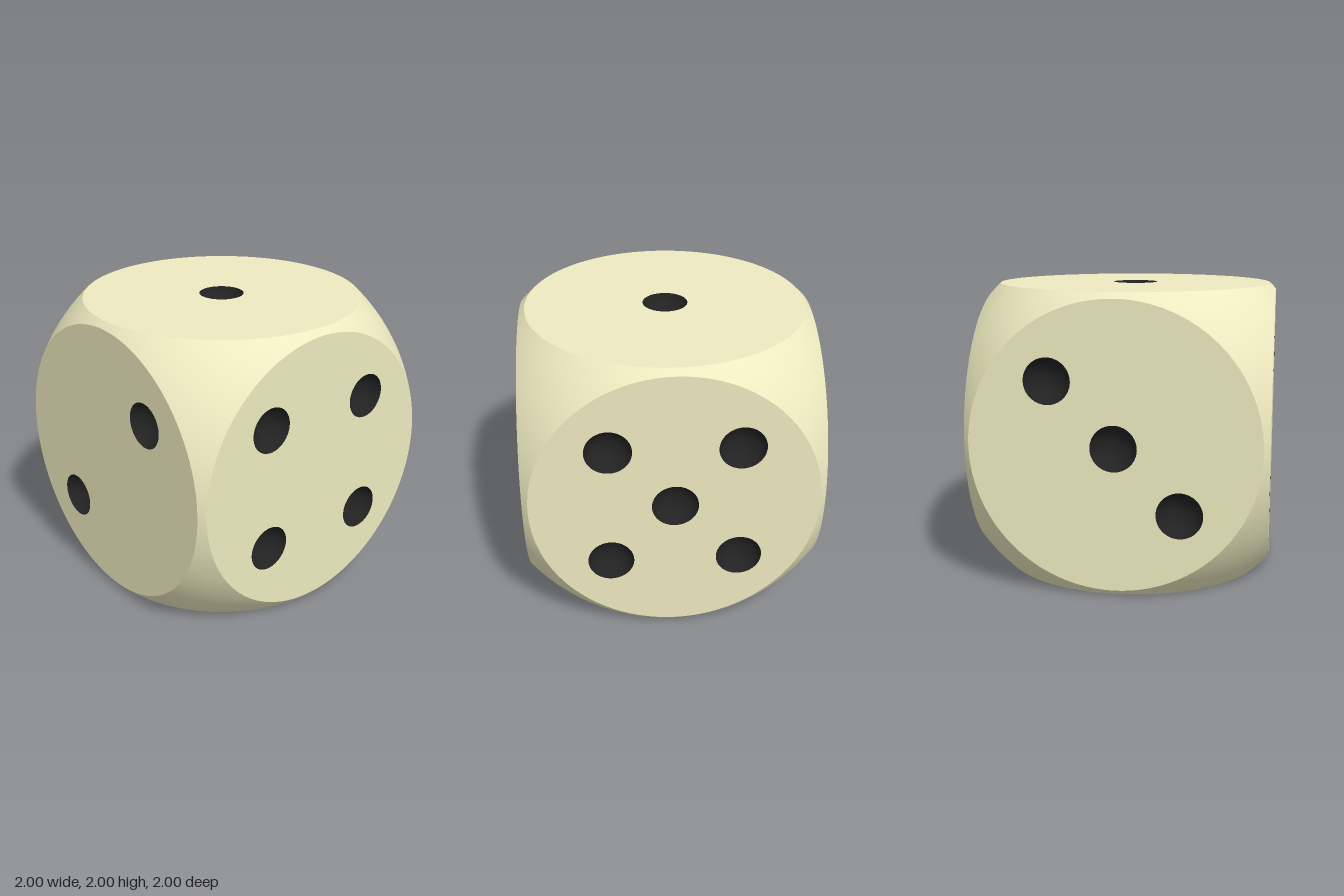
import * as THREE from 'three';

const FLAT = 0.96;                       // radius of each flat round face
const BALL = Math.hypot(1, FLAT);        // radius of the ball that rounds the cube
const PIP = 0.154, DEPTH = 0.12, P = 0.43;
const SEG = 96, RINGS = 10;

const ivory = new THREE.MeshStandardMaterial({ color: 0xeeeac0 });
const black = new THREE.MeshStandardMaterial({ color: 0x222222 });

// Flat disc with a round hole for every pip
function flatFace(pips) {
  const shape = new THREE.Shape().absarc(0, 0, FLAT, 0, Math.PI * 2, false);
  for (const [x, y] of pips) {
    shape.holes.push(new THREE.Path().absarc(x, y, PIP, 0, Math.PI * 2, true));
  }
  return new THREE.ShapeGeometry(shape, SEG / 2).translate(0, 0, 1);
}

// Ball surface between the disc's circle and the square outline of one cube side
function roundedRim() {
  const pos = [], nor = [], idx = [];
  for (let j = 0; j <= RINGS; j++) {
    for (let i = 0; i <= SEG; i++) {
      const a = (i / SEG) * Math.PI * 2, c = Math.cos(a), s = Math.sin(a);
      const square = 1 / Math.max(Math.abs(c), Math.abs(s));
      const r = THREE.MathUtils.lerp(FLAT, square, j / RINGS);
      const n = new THREE.Vector3(c * r, s * r, 1).normalize();
      nor.push(n.x, n.y, n.z);
      pos.push(n.x * BALL, n.y * BALL, n.z * BALL);
      if (i < SEG && j < RINGS) {
        const p = j * (SEG + 1) + i, q = p + SEG + 1;
        idx.push(p, q, q + 1, p, q + 1, p + 1);
      }
    }
  }
  const g = new THREE.BufferGeometry();
  g.setAttribute('position', new THREE.Float32BufferAttribute(pos, 3));
  g.setAttribute('normal', new THREE.Float32BufferAttribute(nor, 3));
  g.setIndex(idx);
  return g;
}

// Hollow spherical bowl, opening towards +z
function pipBowl() {
  const r = (PIP * PIP + DEPTH * DEPTH) / (2 * DEPTH);
  const half = Math.asin(PIP / r), profile = [];
  for (let k = 0; k <= 8; k++) {
    const a = half * (1 - k / 8);
    profile.push(new THREE.Vector2(r * Math.sin(a), r - DEPTH - r * Math.cos(a)));
  }
  return new THREE.LatheGeometry(profile, SEG).rotateX(Math.PI / 2);
}

export function createModel() {
  const die = new THREE.Group();
  die.name = 'die';
  const rim = roundedRim(), bowl = pipBowl(), H = Math.PI / 2;
  const corners = [[-P, P], [P, P], [-P, -P], [P, -P]];

  // Each side: name, turn about x, turn about y, pip positions
  const sides = [
    ['top', -H, 0, [[0, 0]]],
    ['front', 0, 0, [[P, P], [-P, -P]]],
    ['right', 0, -H, [[-P, P], [0, 0], [P, -P]]],
    ['left', 0, H, corners],
    ['back', 0, Math.PI, [...corners, [0, 0]]],
    ['bottom', H, 0, [...corners, [-P, 0], [P, 0]]],
  ];
  for (const [name, rx, ry, pips] of sides) {
    const side = new THREE.Group();
    side.name = name + 'Side';
    const add = (part, geometry, material) => {
      const mesh = new THREE.Mesh(geometry, material);
      mesh.name = name + part;
      side.add(mesh);
      return mesh;
    };
    add('Face', flatFace(pips), ivory);
    add('RoundedRim', rim, ivory);
    pips.forEach(([x, y], i) => add('Pip' + (i + 1), bowl, black).position.set(x, y, 1));
    side.rotation.set(rx, ry, 0);
    side.position.y = 1;
    die.add(side);
  }
  return die;
}
